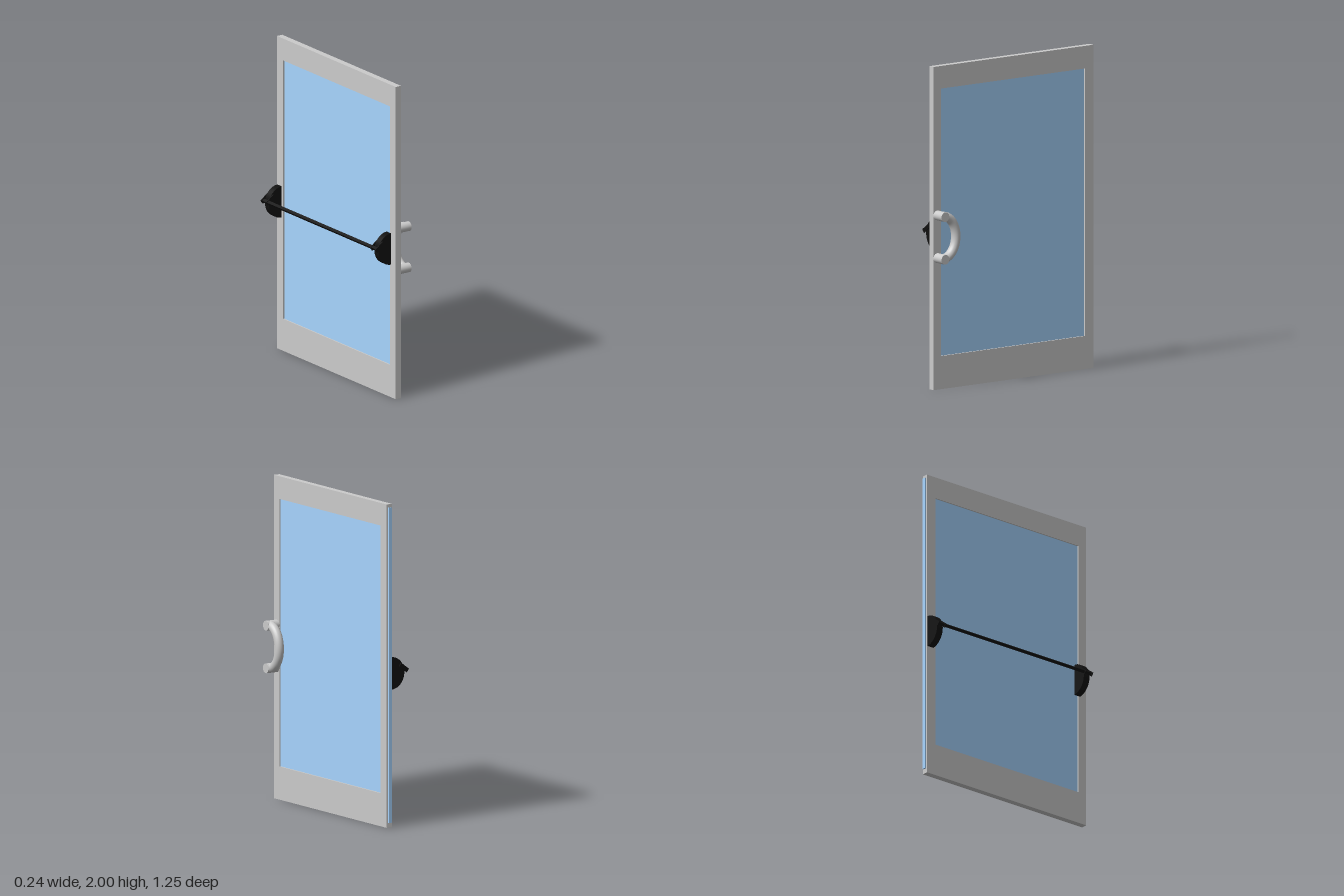
import * as THREE from 'three';

const grey = new THREE.MeshStandardMaterial({ color: 0xcccccc });
const blue = new THREE.MeshStandardMaterial({ color: 0xa7d5ff });
const black = new THREE.MeshStandardMaterial({ color: 0x111111 });

export function createModel() {
  const model = new THREE.Group();

  const add = (name, geometry, material, x = 0, y = 0, z = 0, parent = model) => {
    const mesh = new THREE.Mesh(geometry, material);
    mesh.name = name;
    mesh.position.set(x, y, z);
    parent.add(mesh);
    return mesh;
  };
  const box = (x, y, z) => new THREE.BoxGeometry(x, y, z);

  // Door frame: outline drawn in (-z, y), extruded towards +x
  const rect = (path, x0, y0, x1, y1) =>
    path.moveTo(x0, y0).lineTo(x1, y0).lineTo(x1, y1).lineTo(x0, y1).closePath();
  const outline = new THREE.Shape();
  rect(outline, -0.62, 0, 0.615, 2);
  const opening = new THREE.Path();
  rect(opening, -0.56, 0.205, 0.55, 1.86);
  outline.holes.push(opening);
  const frame = new THREE.ExtrudeGeometry(outline, { depth: 0.04, bevelEnabled: false });
  frame.rotateY(Math.PI / 2);
  add('doorFrame', frame, grey);

  // Glass slab, its edge showing along the hinge side
  add('glassPane', box(0.022, 1.95, 1.195), blue, 0.019, 1.005, -0.0275);

  // Curved pull handle with two round posts
  const handle = new THREE.Group();
  handle.name = 'pullHandle';
  model.add(handle);
  const midY = 0.947, half = 0.132, endZ = 0.59;
  const points = [];
  for (let i = 0; i <= 16; i++) {
    const a = Math.PI / 2 - (Math.PI * i) / 16;
    points.push(new THREE.Vector3(0.09, midY + half * Math.sin(a), endZ - 0.103 * Math.cos(a)));
  }
  const curve = new THREE.CatmullRomCurve3(points);
  add('handleGrip', new THREE.TubeGeometry(curve, 40, 0.029, 20), grey, 0, 0, 0, handle);
  for (const side of [-1, 1]) {
    const post = new THREE.CylinderGeometry(0.03, 0.03, 0.08, 24).rotateZ(Math.PI / 2);
    add('handlePost', post, grey, 0.08, midY + side * half, endZ, handle);
  }

  // Push bar brackets: half-round body with two tilted cheek plates
  const tilt = 0.65;
  for (const z of [-0.588, 0.55]) {
    const bracket = new THREE.Group();
    bracket.name = 'pushBarBracket';
    bracket.position.z = z;
    model.add(bracket);
    const profile = new THREE.Shape();
    profile.absellipse(0, 0.95, 0.094, 0.1, Math.PI / 2, Math.PI * 1.5, false);
    profile.closePath();
    const body = new THREE.ExtrudeGeometry(profile, { depth: 0.044, bevelEnabled: false, curveSegments: 20 });
    add('bracketBody', body, black, 0, 0, -0.022, bracket);
    for (const side of [-1, 1]) {
      const cheek = add('cheekPlate', box(0.07, 0.026, 0.006), black, -0.088, 0.979, side * 0.026, bracket);
      cheek.rotation.z = tilt;
    }
  }

  // Horizontal push bar
  const bar = add('pushBar', box(0.018, 0.018, 1.18), black, -0.103, 0.967, -0.018);
  bar.rotation.z = tilt;

  return model;
}
